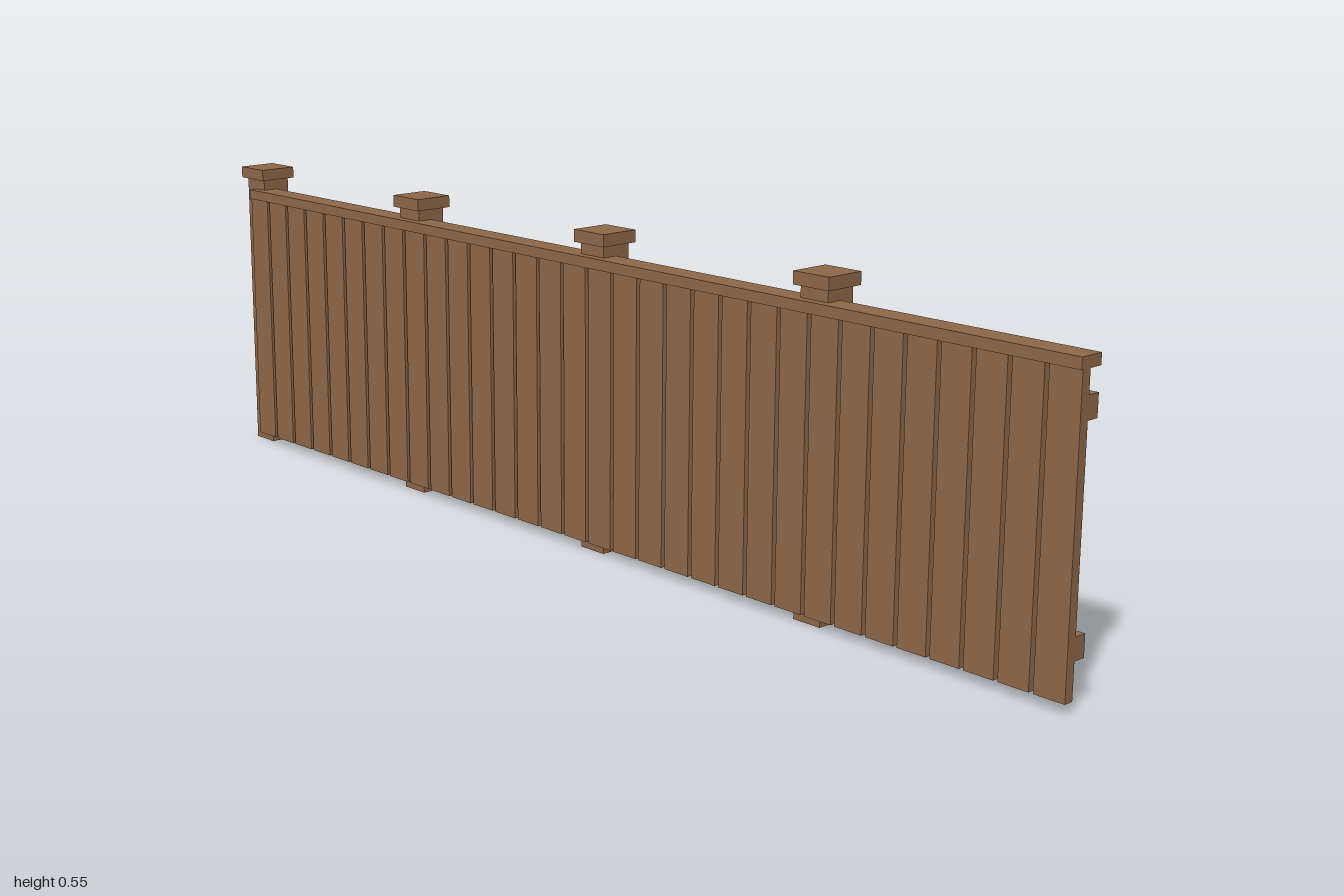
import * as THREE from 'three';

export function createModel() {
  const fence = new THREE.Group();
  fence.name = 'fence';
  const wood = new THREE.MeshStandardMaterial({ color: 0x8f6849 });
  wood.name = 'brown wood';

  // Box given by its [min, max] extent on each axis
  function board(name, [x0, x1], [y0, y1], [z0, z1], parent = fence) {
    const mesh = new THREE.Mesh(new THREE.BoxGeometry(x1 - x0, y1 - y0, z1 - z0), wood);
    mesh.name = name;
    mesh.position.set((x0 + x1) / 2, (y0 + y1) / 2, (z0 + z1) / 2);
    parent.add(mesh);
  }

  const start = -0.964, end = 1, bays = 4, planksPerBay = 8;
  const bay = (end - start) / bays;

  // Posts with flat caps, one at the start of each bay
  for (let i = 0; i < bays; i++) {
    const x = start + i * bay;
    const post = new THREE.Group();
    post.name = 'post';
    board('postShaft', [x - 0.0275, x + 0.0275], [0, 0.53], [-0.031, 0.0245], post);
    board('postCap', [x - 0.036, x + 0.036], [0.529, 0.55], [-0.039, 0.033], post);
    fence.add(post);

    // Horizontal rails behind the planks
    board('lowerRail', [x, x + bay], [0.075, 0.111], [-0.002, 0.02]);
    board('upperRail', [x, x + bay], [0.418, 0.454], [-0.002, 0.02]);
    board('topRail', [x, x + bay], [0.491, 0.509], [-0.004, 0.04]);
  }

  // Upright planks with narrow gaps
  const count = bays * planksPerBay, gap = 0.0075;
  const width = (end - start - (count - 1) * gap) / count;
  for (let i = 0; i < count; i++) {
    const x = start + i * (width + gap);
    board('plank', [x, x + width], [0.016, 0.491], [0.02, 0.037]);
  }
  return fence;
}
